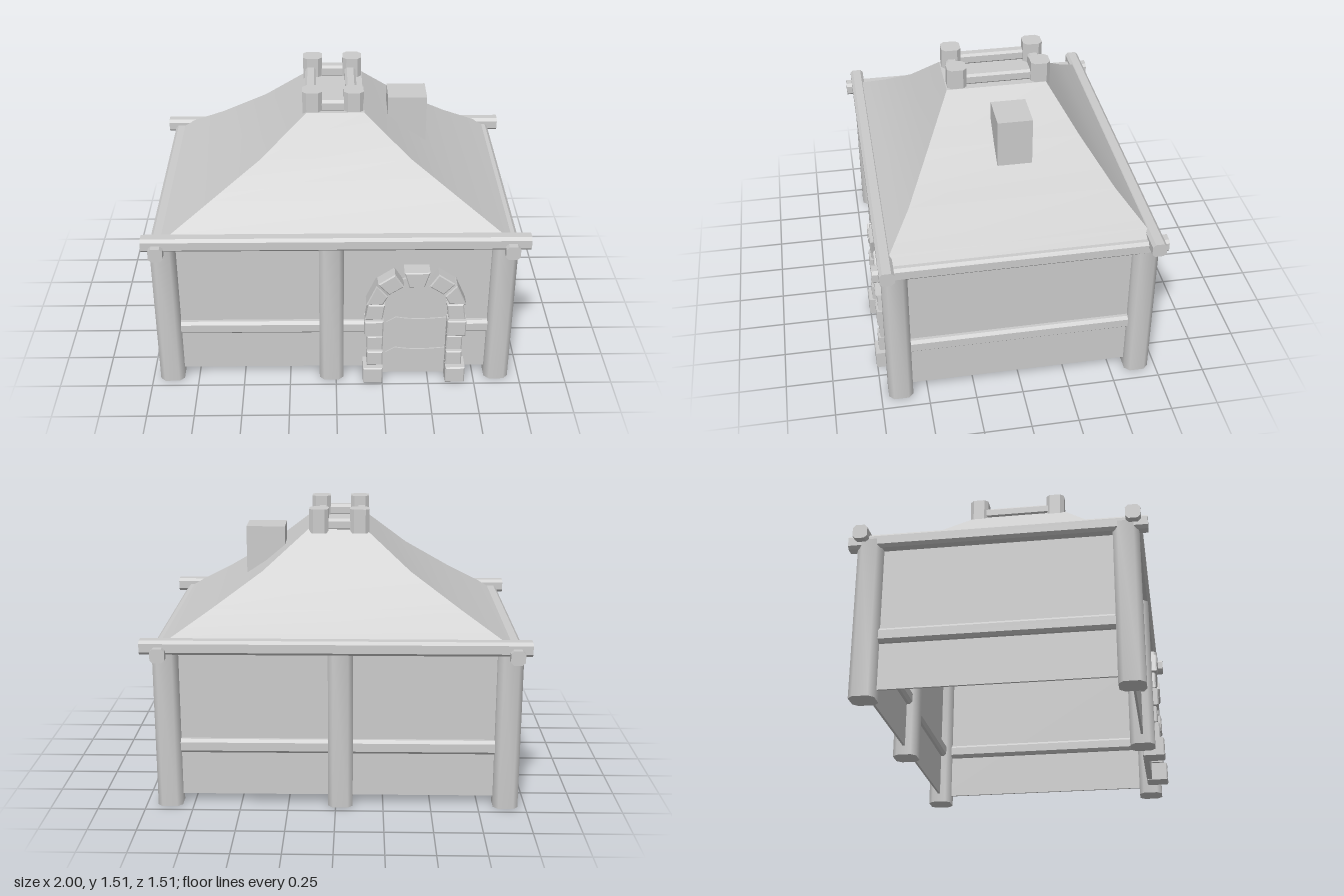
import * as THREE from 'three';
import { toCreasedNormals } from 'three/addons/utils/BufferGeometryUtils.js';

const material = new THREE.MeshStandardMaterial({ color: 0xcccccc, side: THREE.DoubleSide });

export function createModel() {
  const house = new THREE.Group();
  house.name = 'house';

  const add = (name, geometry, x = 0, y = 0, z = 0, parent = house) => {
    const mesh = new THREE.Mesh(geometry, material);
    mesh.name = name;
    mesh.position.set(x, y, z);
    parent.add(mesh);
    return mesh;
  };
  const addGroup = (name) => {
    const group = new THREE.Group();
    group.name = name;
    house.add(group);
    return group;
  };

  // Timber with chamfered corners, centred on the origin and running along one axis
  const timber = (size, length, axis, chamfer = 0.2, smooth = false) => {
    const h = size / 2, c = h - size * chamfer;
    const shape = new THREE.Shape([[h, -c], [h, c], [c, h], [-c, h], [-h, c], [-h, -c], [-c, -h], [c, -h]]
      .map(([x, y]) => new THREE.Vector2(x, y)));
    let g = new THREE.ExtrudeGeometry(shape, { depth: length, bevelEnabled: false });
    g.translate(0, 0, -length / 2);
    if (axis === 'x') g.rotateY(Math.PI / 2);
    if (axis === 'y') g.rotateX(-Math.PI / 2);
    if (smooth) g = toCreasedNormals(g, 1);
    return g;
  };

  const leftX = 0.875, rightX = -0.895, midX = -0.025, wallZ = 0.645;
  const midWallX = (leftX + rightX) / 2, wallWidth = leftX - rightX;

  // Posts at the corners and in the middle of the front and back
  const posts = addGroup('posts');
  for (const z of [wallZ, -wallZ])
    for (const x of [rightX, midX, leftX])
      add('post', timber(0.13, 0.85, 'y', 0.2, true), x, 0.425, z, posts);

  // Thin wall panels, open below
  const walls = addGroup('walls');
  for (const z of [wallZ, -wallZ])
    add('longWall', new THREE.BoxGeometry(wallWidth, 0.82, 0.012), midWallX, 0.46, z, walls);
  for (const x of [rightX, leftX])
    add('sideWall', new THREE.BoxGeometry(0.012, 0.82, wallZ * 2), x, 0.46, 0, walls);

  // Rails at mid height, interrupted by the doorway
  const rails = addGroup('rails');
  const railX = (a, b, z) => add('longRail', timber(0.075, b - a, 'x'), (a + b) / 2, 0.328, z, rails);
  railX(rightX, 0.2, wallZ);
  railX(0.64, leftX, wallZ);
  railX(rightX, leftX, -wallZ);
  for (const x of [rightX, leftX])
    add('sideRail', timber(0.075, wallZ * 2, 'z'), x, 0.328, 0, rails);

  // Eaves beams crossing at the corners
  const eaves = addGroup('eaves');
  for (const z of [0.685, -0.685]) add('longEavesBeam', timber(0.075, 2, 'x'), 0, 0.875, z, eaves);
  for (const x of [-0.922, 0.903]) add('sideEavesBeam', timber(0.075, 1.51, 'z'), x, 0.842, 0, eaves);

  // Hipped roof with a hollow curve: rectangular rings of [halfX, y, halfZ]
  const rings = [
    [0.925, 0.868, 0.7], [0.85, 0.91, 0.657], [0.65, 1.033, 0.535],
    [0.39, 1.205, 0.4], [0.152, 1.405, 0.265],
  ];
  const corners = [[-1, 1], [1, 1], [1, -1], [-1, -1]];
  const vertices = rings.flatMap(([x, y, z]) => corners.flatMap(([sx, sz]) => [sx * x, y, sz * z]));
  const faces = [];
  for (let r = 0; r < rings.length - 1; r++)
    for (let i = 0; i < 4; i++) {
      const a = r * 4 + i, b = r * 4 + (i + 1) % 4;
      faces.push(a, b, b + 4, a, b + 4, a + 4);
    }
  const top = (rings.length - 1) * 4;
  faces.push(top, top + 1, top + 2, top, top + 2, top + 3);
  const roof = new THREE.BufferGeometry();
  roof.setAttribute('position', new THREE.Float32BufferAttribute(vertices, 3));
  roof.setIndex(faces);
  add('roof', toCreasedNormals(roof, 0.4));

  // Frame around the top of the roof
  const crown = addGroup('crown');
  const crownX = [-0.12, 0.097], crownZ = [-0.238, 0.207];
  for (const x of crownX) {
    add('crownSideRail', timber(0.06, 0.4, 'z'), x - 0.01, 1.432, -0.016, crown);
    for (const z of crownZ) add('crownPost', timber(0.103, 0.128, 'y'), x, 1.449, z, crown);
  }
  for (const z of crownZ) add('crownEndRail', timber(0.065, 0.18, 'x'), -0.012, 1.428, z, crown);

  // Chimney set into the left slope
  add('chimney', new THREE.BoxGeometry(0.21, 0.27, 0.182), 0.392, 1.257, -0.036);

  // Arched doorway, built about its own centre line
  const doorway = addGroup('doorway');
  doorway.position.x = 0.42;
  const stone = (points, front) => {
    const bevel = 0.006;
    const cx = points.reduce((s, p) => s + p[0], 0) / points.length;
    const cy = points.reduce((s, p) => s + p[1], 0) / points.length;
    const shape = new THREE.Shape(points.map(([x, y]) =>
      new THREE.Vector2(x - Math.sign(x - cx) * bevel, y - Math.sign(y - cy) * bevel)));
    const depth = front - 0.635 - 2 * bevel;
    const g = new THREE.ExtrudeGeometry(shape,
      { depth, bevelThickness: bevel, bevelSize: bevel, bevelSegments: 1 });
    add('doorStone', g, 0, 0, 0.635 + bevel, doorway);
  };
  const block = (x0, x1, y0, y1) => [[x0, y0], [x1, y0], [x1, y1], [x0, y1]];
  const sideStones = [
    [block(-0.275, -0.17, 0.01, 0.11), 0.755],
    [block(-0.255, -0.17, 0.115, 0.205), 0.735],
    [block(-0.255, -0.17, 0.21, 0.3), 0.725],
    [block(-0.27, -0.17, 0.305, 0.403), 0.735],
    [[[-0.265, 0.408], [-0.175, 0.408], [-0.163, 0.505], [-0.252, 0.505]], 0.725],
    [[[-0.262, 0.51], [-0.172, 0.515], [-0.15, 0.568], [-0.215, 0.63]], 0.735],
    [[[-0.2, 0.638], [-0.148, 0.57], [-0.068, 0.615], [-0.11, 0.692]], 0.725],
  ];
  for (const [points, front] of sideStones) {
    stone(points, front);
    stone(points.map(([x, y]) => [-x, y]).reverse(), front);
  }
  stone([[-0.042, 0.622], [0.042, 0.622], [0.066, 0.713], [-0.066, 0.713]], 0.735);

  // Door leaf with a rounded head
  const leaf = new THREE.Shape();
  leaf.moveTo(-0.19, 0.015);
  leaf.lineTo(0.19, 0.015);
  leaf.lineTo(0.19, 0.45);
  leaf.absarc(0, 0.45, 0.19, 0, Math.PI);
  add('door', new THREE.ExtrudeGeometry(leaf, { depth: 0.03, bevelEnabled: false }), 0, 0, 0.635, doorway);

  // Pointed hinge straps
  const strap = new THREE.Shape();
  strap.moveTo(-0.15, 0);
  strap.lineTo(-0.1, 0.032);
  strap.quadraticCurveTo(0, 0.008, 0.18, 0.03);
  strap.lineTo(0.18, -0.03);
  strap.quadraticCurveTo(0, -0.008, -0.1, -0.032);
  for (const y of [0.358, 0.157])
    add('hingeStrap', new THREE.ExtrudeGeometry(strap, { depth: 0.008, bevelEnabled: false }), 0, y, 0.664, doorway);

  return house;
}
